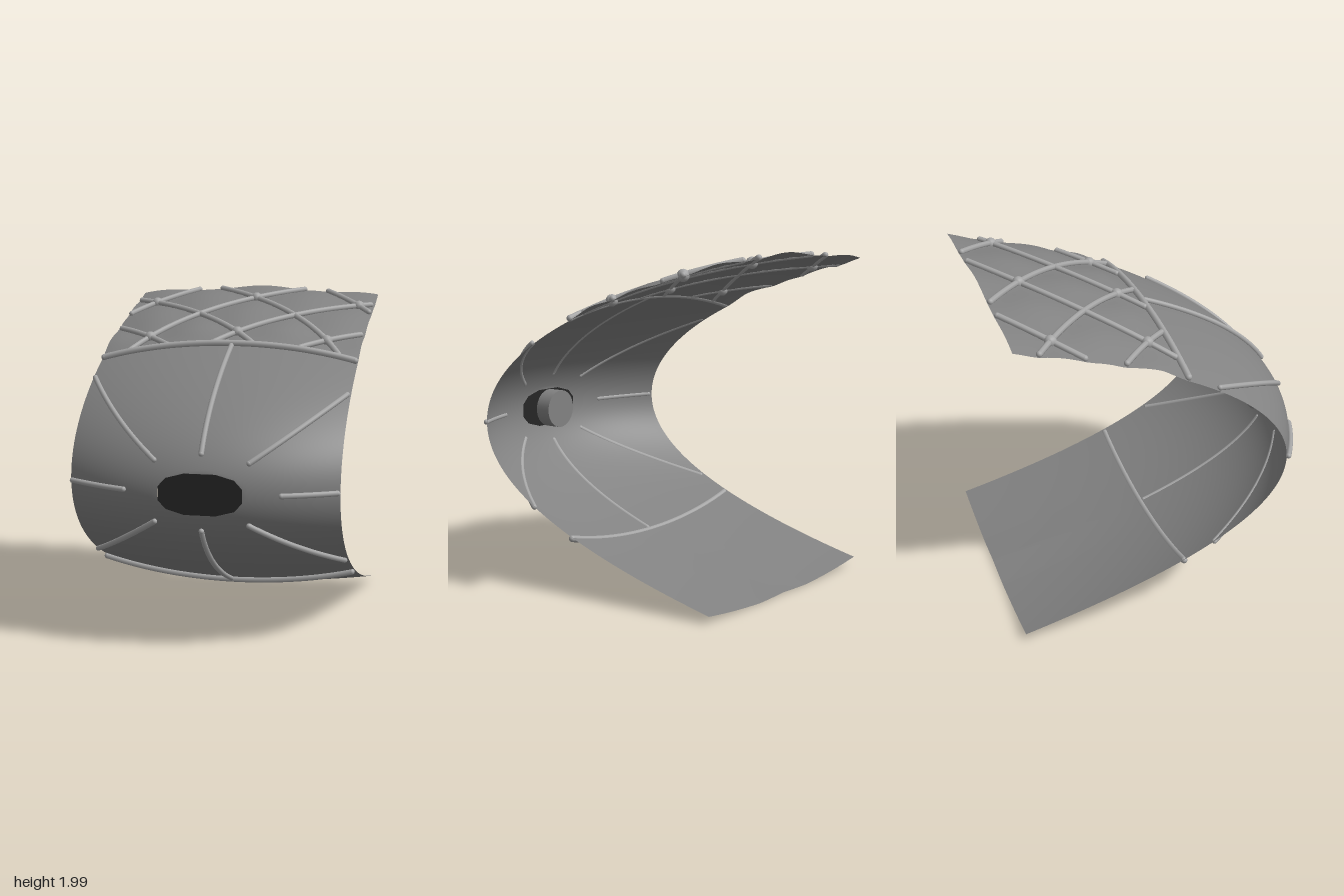
import * as THREE from 'three';

const X0 = 0.03, XE = 0.79, ZB = -0.915, ZF = 0.913;
const RING_Z = 0.07;

// Cross-section rules of the curved shell: (y - mid)^2 + k d^2 = f
const f = z => 0.555 - 0.523 * z - 0.0757 * z * z;
const k = z => 0.212 + 0.04 * z - 0.02 * z * z;
const mid = z => 0.985 - 0.02 * z - 0.012 * z * z;
const halfHeight = (x, z) => Math.sqrt(Math.max(0, f(z) - k(z) * (x - X0) ** 2));

// Diamond pattern: nodes sit where u is whole and s is whole
const cell = z => 0.55 + (-0.08 - z) * 0.195;
const row = z => (-0.08 - z) / 0.59;

function depth(x, h) {
  const d2 = (x - X0) ** 2;
  let lo = -0.95, hi = 1.1;
  for (let i = 0; i < 30; i++) {
    const m = (lo + hi) / 2;
    if (f(m) - k(m) * d2 > h * h) lo = m; else hi = m;
  }
  return lo;
}

// Point on the shell for sideways position x and signed height h
function surface(x, h) {
  const z = depth(x, h);
  let y = mid(z) + h;
  if (h > 0 && z < RING_Z) {
    const u = (x - X0) / cell(z), s = row(z);
    const fade = Math.min(1, (RING_Z - z) / 0.15);
    y += 0.024 * fade * Math.abs(Math.sin(Math.PI * (u - s)) * Math.sin(Math.PI * (u + s)));
  } else if (h < 0) {
    y += 0.014 * Math.max(0, 1 - Math.abs(x - X0) / 0.25) * Math.max(0, -z);
  }
  return new THREE.Vector3(x, y, Math.min(z, ZF));
}

// Point lifted off the shell along its normal
function lifted(x, h, amount) {
  const e = 0.004;
  const a = surface(x + e, h).sub(surface(x - e, h));
  const b = surface(x, h + e).sub(surface(x, h - e));
  return surface(x, h).addScaledVector(a.cross(b).normalize(), amount);
}

function shellGeometry() {
  const NX = 96, NH = 160, pos = [], index = [], open = [];
  for (let j = 0; j <= NH; j++) {
    for (let i = 0; i <= NX; i++) {
      const x = -XE + 2 * XE * i / NX;
      const h = halfHeight(x, ZB) * (2 * j / NH - 1);
      pos.push(...surface(x, h).toArray());
      open.push(depth(x, h) > ZF);
    }
  }
  for (let j = 0; j < NH; j++) {
    for (let i = 0; i < NX; i++) {
      const a = j * (NX + 1) + i, b = a + 1, c = a + NX + 1, d = c + 1;
      if (open[a] && open[b] && open[c] && open[d]) continue; // nose opening
      index.push(a, b, d, a, d, c);
    }
  }
  const g = new THREE.BufferGeometry();
  g.setAttribute('position', new THREE.Float32BufferAttribute(pos, 3));
  g.setIndex(index);
  g.computeVertexNormals();
  return g;
}

export function createModel() {
  const model = new THREE.Group();
  const shellGrey = new THREE.MeshStandardMaterial({ color: 0x828282, side: THREE.DoubleSide });
  shellGrey.name = 'shell grey';
  const ribGrey = new THREE.MeshStandardMaterial({ color: 0xa6a6a6 });
  ribGrey.name = 'rib grey';
  const darkGrey = new THREE.MeshStandardMaterial({ color: 0x262626 });
  darkGrey.name = 'dark grey';

  const add = (name, geometry, material, parent = model) => {
    const m = new THREE.Mesh(geometry, material);
    m.name = name;
    parent.add(m);
    return m;
  };
  const ball = (name, p, r, parent) =>
    add(name, new THREE.SphereGeometry(r, 12, 8), ribGrey, parent).position.copy(p);

  // Round-ended rib that follows the shell; at(t) gives [x, h]
  function rib(name, at, r) {
    const limit = XE - r, pts = [];
    for (let i = 0; i <= 80; i++) {
      const [x, h] = at(i / 80);
      if (Math.abs(x) <= limit + 1e-6) pts.push(lifted(x, h, r * 0.6));
    }
    if (pts.length < 3) return;
    const group = new THREE.Group();
    group.name = name;
    model.add(group);
    const path = new THREE.CatmullRomCurve3(pts);
    add(name + 'Tube', new THREE.TubeGeometry(path, 40, r, 8), ribGrey, group);
    ball(name + 'End', pts[0], r, group);
    ball(name + 'End', pts[pts.length - 1], r, group);
  }
  const lerp = THREE.MathUtils.lerp;

  add('shell', shellGeometry(), shellGrey);

  // Dark nose plate
  const corner = [[0.24, 0.04], [0.195, 0.088], [0.09, 0.117]];
  const flip = corner.slice().reverse();
  const outline = [
    ...corner, ...flip.map(([x, y]) => [-x, y]),
    ...corner.map(([x, y]) => [-x, -y]), ...flip.map(([x, y]) => [x, -y]),
  ].map(([x, y]) => new THREE.Vector2(x, y));
  add('nosePlate', new THREE.ExtrudeGeometry(new THREE.Shape(outline),
    { depth: 0.008, bevelEnabled: false }), darkGrey).position.set(X0, 0.955, 0.909);

  // Round boss behind the plate
  const boss = add('noseBoss', new THREE.CylinderGeometry(0.12, 0.12, 0.1, 32), shellGrey);
  boss.rotation.x = Math.PI / 2;
  boss.position.set(X0, 0.95, 0.856);

  // Cross bands and the spokes that radiate from the nose
  for (const up of [1, -1]) {
    rib('crossBand', t => {
      const x = lerp(-XE + 0.02, XE - 0.02, t);
      return [x, up * halfHeight(x, RING_Z)];
    }, 0.02);
    rib('centreSpoke', t => [X0, up * lerp(0.215, 0.71, t)], 0.016);
    for (const side of [1, -1]) {
      rib('diagonalSpoke', t => [X0 + side * lerp(0.27, 0.82, t), up * lerp(0.172, 0.535, t)], 0.016);
    }
  }
  for (const side of [1, -1]) {
    rib('sideSpoke', t => [X0 + side * lerp(0.45, 0.82, t), 0], 0.016);
  }

  // Diamond lattice over the upper rear
  for (let i = -4; i <= 4; i++) {
    for (const dir of [1, -1]) {
      rib('latticeRib', t => {
        const z = lerp(0.05, ZB + 0.016, t);
        const x = X0 + (i + dir * row(z)) * cell(z);
        return [x, halfHeight(x, z)];
      }, 0.018);
    }
  }
  // Lattice knobs
  for (const z of [-0.08, -0.67]) {
    for (const i of [-1, 0, 1]) {
      const x = X0 + i * cell(z);
      ball('latticeKnob', lifted(x, halfHeight(x, z), 0.008), 0.036, model);
    }
  }
  return model;
}
